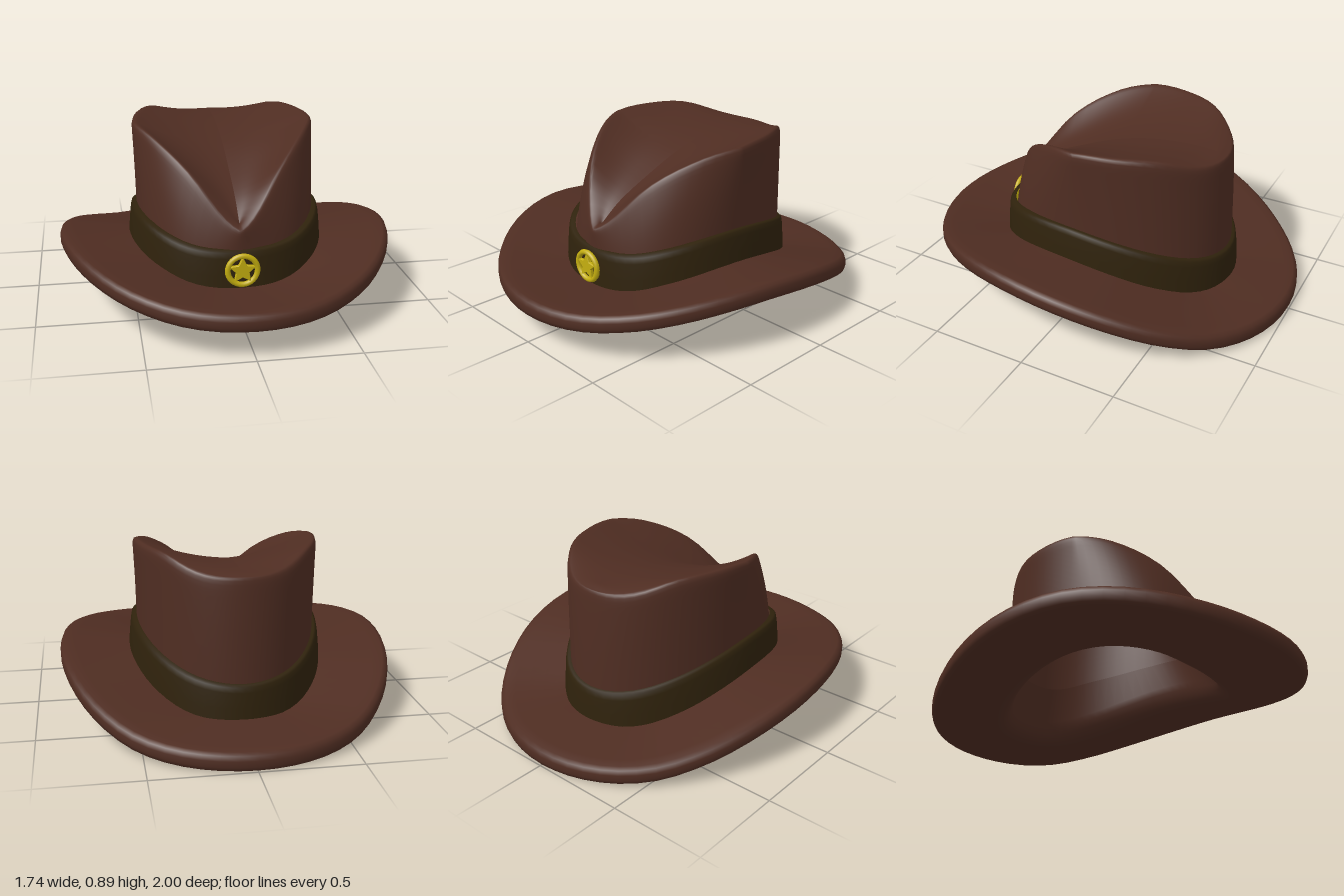
import * as THREE from 'three';
import { mergeVertices } from 'three/addons/utils/BufferGeometryUtils.js';

const SEGMENTS = 64;
const lerp = THREE.MathUtils.lerp;

// Smooth height curve along z, sampled every 0.2 starting at z0
function heightCurve(z0, values) {
  const at = (i) => values[Math.min(values.length - 1, Math.max(0, i))];
  return (z) => {
    const f = Math.min(values.length - 1, Math.max(0, (z - z0) / 0.2));
    const i = Math.floor(f), t = f - i;
    const m0 = (at(i + 1) - at(i - 1)) / 2, m1 = (at(i + 2) - at(i)) / 2;
    const d = at(i + 1) - at(i);
    return at(i) + t * (m0 + t * (3 * d - 2 * m0 - m1 + t * (m0 + m1 - 2 * d)));
  };
}

const ridge = heightCurve(-0.6, [0.8, 0.885, 0.9, 0.895, 0.85, 0.72, 0.45]);
const valley = heightCurve(-0.6, [0.815, 0.82, 0.80, 0.75, 0.67, 0.575, 0.44]);
const brimInner = heightCurve(-0.6, [0.075, 0.142, 0.206, 0.243, 0.245, 0.208, 0.132]);
const brimOuter = heightCurve(-1,
  [0.045, 0.075, 0.14, 0.205, 0.255, 0.288, 0.303, 0.293, 0.265, 0.225, 0.185]);
const bandTop = heightCurve(-0.8, [0.24, 0.3, 0.37, 0.425, 0.457, 0.457, 0.425, 0.37]);

// Egg-shaped outline: half width, front length, back length, front roundness
function outline(width, front, back, power = 2) {
  return (a) => {
    const s = Math.sin(a), c = Math.cos(a);
    const e = c > 0 ? 2 / power : 1;
    return {
      x: width * Math.sign(s) * Math.abs(s) ** e,
      z: (c > 0 ? front : -back) * Math.abs(c) ** e,
    };
  };
}
const baseLine = outline(0.46, 0.57, 0.64, 2.3);
const ridgeLine = outline(0.477, 0.58, 0.615, 1.3);
const brimLine = outline(0.87, 1, 1);

// Skin a list of closed rings; each ring maps an angle to [x, y, z]
function loft(rings) {
  const positions = [], index = [];
  for (const ring of rings) {
    for (let j = 0; j < SEGMENTS; j++) positions.push(...ring((j / SEGMENTS) * Math.PI * 2));
  }
  for (let i = 0; i < rings.length - 1; i++) {
    for (let j = 0; j < SEGMENTS; j++) {
      const k = (j + 1) % SEGMENTS;
      const a = i * SEGMENTS + j, d = i * SEGMENTS + k;
      const b = a + SEGMENTS, c = d + SEGMENTS;
      index.push(a, b, c, a, c, d);
    }
  }
  let geometry = new THREE.BufferGeometry();
  geometry.setAttribute('position', new THREE.Float32BufferAttribute(positions, 3));
  geometry.setIndex(index);
  geometry = mergeVertices(geometry, 1e-4);
  geometry.computeVertexNormals();
  return geometry;
}

// Blend control rings with a cubic B-spline, so that folds come out rounded
function softenRings(rings, steps = 3) {
  const first = rings[0], last = rings[rings.length - 1];
  const c = [first, first, ...rings, last, last];
  const result = [];
  for (let i = 0; i < c.length - 3; i++) {
    for (let n = 0; n < steps; n++) {
      const t = n / steps;
      const w = [(1 - t) ** 3, 3 * t ** 3 - 6 * t * t + 4, -3 * t ** 3 + 3 * t * t + 3 * t + 1, t ** 3];
      result.push((a) => {
        const p = w.map((_, q) => c[i + q](a));
        return [0, 1, 2].map((axis) => w.reduce((sum, f, q) => sum + (f * p[q][axis]) / 6, 0));
      });
    }
  }
  return [...result, last];
}

// One skin of the crown: creased roof falling to a front pinch, then the wall
function crownRings(scale, drop, wallSteps) {
  const roof = [0, 0.2, 0.4, 0.6, 0.78, 0.9, 1].map((t) => (a) => {
    const p = ridgeLine(a), z = p.z * lerp(0.9, 1, t * t);
    const y = lerp(valley(z), ridge(z), t ** 1.7);
    return [p.x * t * scale, y - drop, z * scale];
  });
  const wall = wallSteps.map((k) => (a) => {
    const r = ridgeLine(a), b = baseLine(a), m = k ** 2;
    const y = lerp(brimInner(b.z), ridge(r.z), k);
    return [lerp(b.x, r.x, m) * scale, y - drop, lerp(b.z, r.z, m) * scale];
  });
  return softenRings([...roof, ...wall]);
}

// Brim ring: s runs from the crown (0) to the rim (1), h is height off the middle
function brimRing(s, h) {
  return (a) => {
    const b = baseLine(a), o = brimLine(a);
    const y = lerp(brimInner(b.z), brimOuter(o.z), Math.max(0, s) ** 1.1);
    return [lerp(b.x, o.x, s), y + h, lerp(b.z, o.z, s)];
  };
}

function bandRing(grow, height) {
  const line = outline(0.46 + grow, 0.57 + grow * 0.75, 0.64 + grow * 0.75, 2.3);
  return (a) => {
    const p = line(a);
    return [p.x, lerp(brimInner(p.z), bandTop(p.z), height), p.z];
  };
}

function starShape(outer, inner) {
  const points = [];
  for (let i = 0; i < 10; i++) {
    const r = i % 2 ? inner : outer, a = Math.PI / 2 + (i * Math.PI) / 5;
    points.push(new THREE.Vector2(r * Math.cos(a), r * Math.sin(a)));
  }
  return new THREE.Shape(points);
}

export function createModel() {
  const felt = new THREE.MeshStandardMaterial({ color: 0x4f2d22 });
  felt.name = 'brown felt';
  const ribbon = new THREE.MeshStandardMaterial({ color: 0x2f220c });
  ribbon.name = 'dark olive ribbon';
  const gold = new THREE.MeshStandardMaterial({ color: 0xc4ae10 });
  gold.name = 'gold';

  const hat = new THREE.Group();
  hat.name = 'hat';
  const add = (name, geometry, material, parent = hat) => {
    const mesh = new THREE.Mesh(geometry, material);
    mesh.name = name;
    parent.add(mesh);
    return mesh;
  };
  const h = 0.045;

  // Crown shell
  add('crown', loft(crownRings(1, 0, [0.88, 0.75, 0.6, 0.4, 0.2, 0])), felt);

  // Inside of the crown, flaring softly into the underside of the brim
  add('crownLining', loft([
    brimRing(0.2, -h), brimRing(0.12, -h * 0.97), brimRing(0.04, -h * 0.8),
    brimRing(-0.03, -h * 0.4), brimRing(-0.08, h * 0.2), brimRing(-0.115, h),
    brimRing(-0.13, h * 1.8),
    ...crownRings(0.87, 0.06, [0.88, 0.75, 0.6, 0.45]).reverse(),
  ]), felt);

  // Curled brim with a rounded rim
  add('brim', loft([
    ...[0, 0.2, 0.4, 0.6, 0.8, 0.93].map((s) => brimRing(s, h)),
    brimRing(0.98, h * 0.75), brimRing(1, h * 0.25),
    brimRing(1, -h * 0.4), brimRing(0.98, -h * 0.85),
    ...[0.93, 0.8, 0.6, 0.4, 0.2].map((s) => brimRing(s, -h)),
  ]), felt);

  // Ribbon around the crown
  add('band', loft([
    bandRing(-0.01, 0.99), bandRing(0.015, 1), bandRing(0.026, 0.97), bandRing(0.032, 0.85),
    bandRing(0.04, 0.5), bandRing(0.048, 0),
  ]), ribbon);

  // Star badge on the front
  const badge = new THREE.Group();
  badge.name = 'badge';
  badge.position.set(0, 0.285, 0.618);
  hat.add(badge);
  add('badgeRing', new THREE.TorusGeometry(0.073, 0.014, 8, 32), gold, badge);
  const star = new THREE.ExtrudeGeometry(starShape(0.066, 0.031), {
    depth: 0.014, bevelEnabled: true, bevelThickness: 0.004, bevelSize: 0.003, bevelSegments: 1,
  });
  star.translate(0, 0, -0.007);
  add('badgeStar', star, gold, badge);
  return hat;
}
